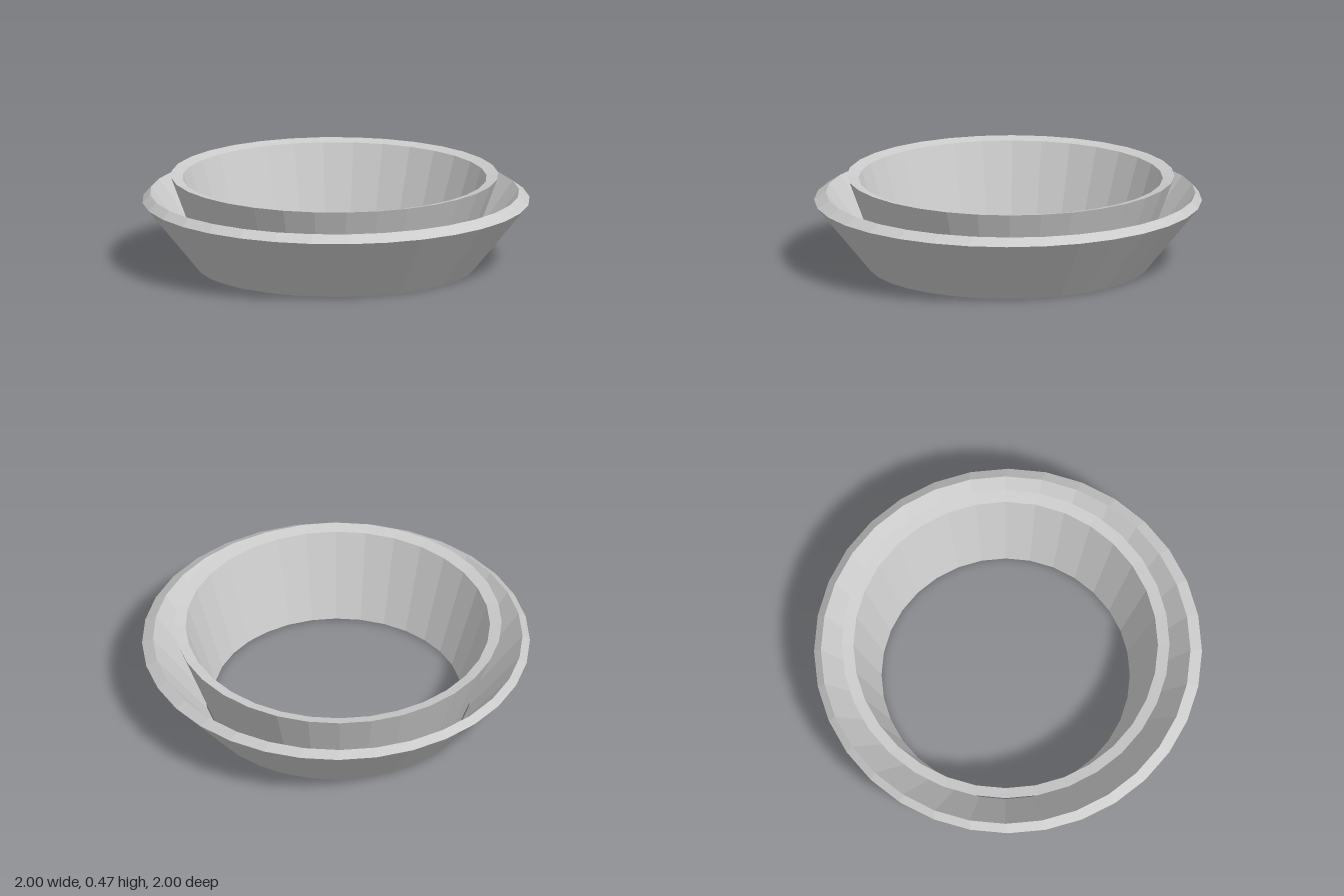
import * as THREE from 'three';

const SIDES = 32;
// the inner surfaces sit slightly off the axis of the outer cone
const SHIFT_X = -0.009, SHIFT_Z = -0.012;

// Closed faceted ring; each profile point is [radius, height, off-axis (0 or 1)]
function makeRing(name, profile, material) {
  const loop = [...profile, profile[0]];
  const geometry = new THREE.LatheGeometry(loop.map(([r, y]) => new THREE.Vector2(r, y)), SIDES);
  const pos = geometry.attributes.position;
  for (let i = 0; i < pos.count; i++) {
    const off = loop[i % loop.length][2];
    pos.setX(i, pos.getX(i) + off * SHIFT_X);
    pos.setZ(i, pos.getZ(i) + off * SHIFT_Z);
  }
  geometry.computeVertexNormals();
  const mesh = new THREE.Mesh(geometry, material);
  mesh.name = name;
  return mesh;
}

export function createModel() {
  const group = new THREE.Group();
  group.name = 'nestedRings';
  const material = new THREE.MeshStandardMaterial({ color: 0xcccccc, flatShading: true });

  // wide flared shell with ends cut square to its wall
  group.add(makeRing('outerRing', [
    [0.72, 0, 0], [1.0, 0.345, 0], [0.953, 0.383, 1], [0.688, 0.028, 1],
  ], material));

  // taller, steeper ring standing inside the shell
  group.add(makeRing('innerRing', [
    [0.676, 0.016, 1], [0.845, 0.473, 1], [0.785, 0.46, 1], [0.64, 0.006, 1],
  ], material));

  return group;
}
